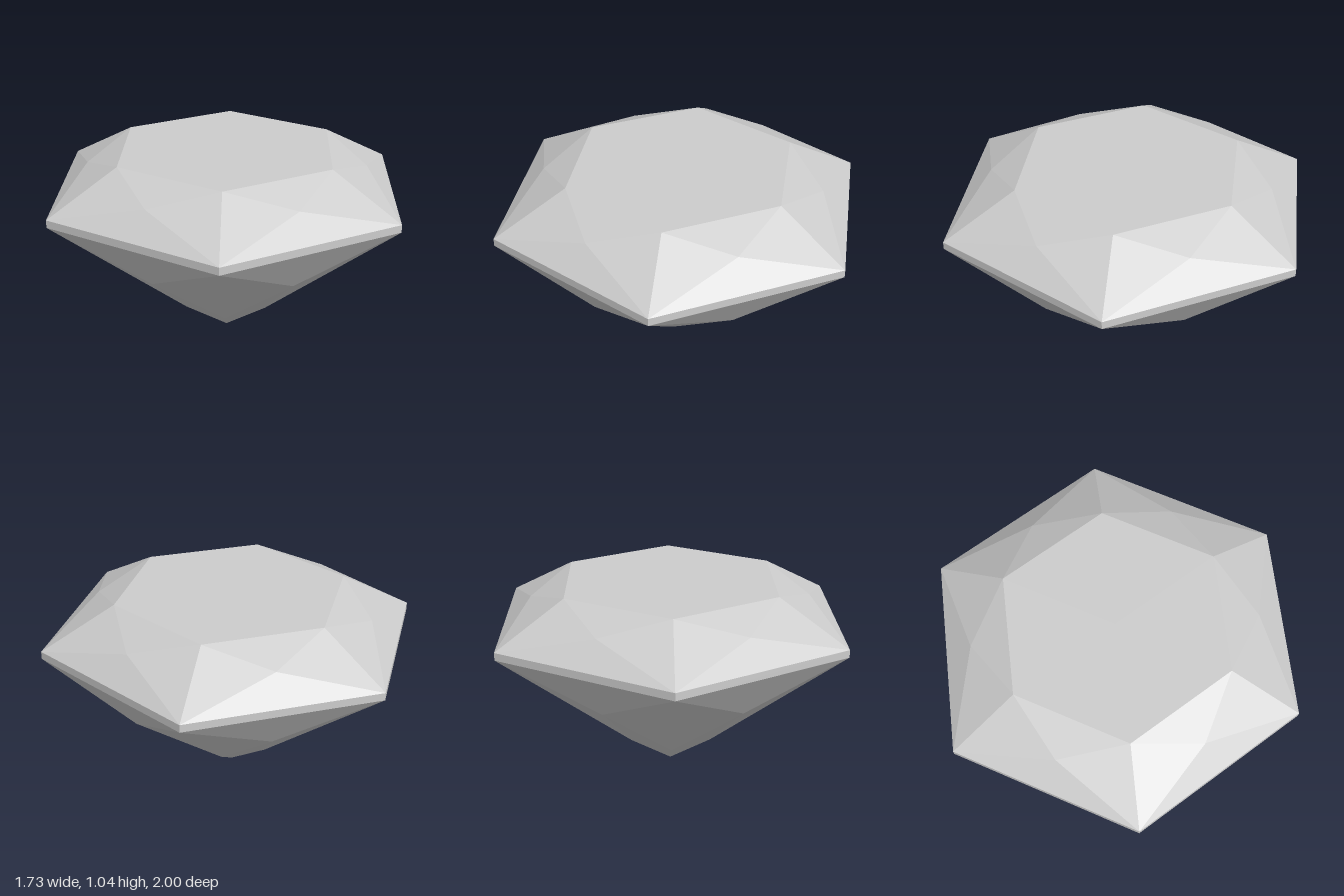
import * as THREE from 'three';

// Point on a six-fold ring: step counts 60 degree turns, starting at the front.
const at = (radius, y, step) => {
  const a = (step % 6) * Math.PI / 3;
  return [radius * Math.sin(a), y, radius * Math.cos(a)];
};

// Rings of the cut stone, as [radius, height]
const TABLE = [0.617, 1.04];
const STAR = [0.73, 0.95];
const GIRDLE_TOP = [1, 0.83];
const GIRDLE_LOW = [1, 0.79];
const BELLY = [0.69, 0.54];
const KEEL = [0.245, 0.166];
const TIP = [0, 0];

export function createModel() {
  const stone = new THREE.MeshStandardMaterial({ color: 0xcccccc, flatShading: true });
  stone.name = 'stoneGrey';
  const model = new THREE.Group();
  model.name = 'gem';

  // Repeats the triangles of one side six times around the axis.
  const addFacets = (name, side) => {
    const points = [];
    for (let k = 0; k < 6; k++) {
      for (const triangle of side) {
        for (const [ring, offset] of triangle) points.push(...at(...ring, k + offset));
      }
    }
    const geometry = new THREE.BufferGeometry();
    geometry.setAttribute('position', new THREE.Float32BufferAttribute(points, 3));
    geometry.computeVertexNormals();
    const mesh = new THREE.Mesh(geometry, stone);
    mesh.name = name;
    model.add(mesh);
  };

  // Left corner, right corner and middle of one side
  const L = (ring) => [ring, 0];
  const R = (ring) => [ring, 1];
  const M = (ring) => [ring, 0.5];

  // Flat top
  addFacets('table', [[L(TABLE), R(TABLE), L([0, TABLE[1]])]]);

  // Sloping upper facets
  addFacets('crown', [
    [L(GIRDLE_TOP), R(GIRDLE_TOP), M(STAR)],
    [L(GIRDLE_TOP), M(STAR), L(TABLE)],
    [M(STAR), R(GIRDLE_TOP), R(TABLE)],
    [M(STAR), R(TABLE), L(TABLE)],
  ]);

  // Thin upright band
  addFacets('girdle', [
    [L(GIRDLE_LOW), R(GIRDLE_LOW), R(GIRDLE_TOP)],
    [L(GIRDLE_LOW), R(GIRDLE_TOP), L(GIRDLE_TOP)],
  ]);

  // Lower facets down to the point
  addFacets('pavilion', [
    [R(GIRDLE_LOW), L(GIRDLE_LOW), M(BELLY)],
    [L(GIRDLE_LOW), L(KEEL), M(BELLY)],
    [R(GIRDLE_LOW), M(BELLY), R(KEEL)],
    [M(BELLY), L(KEEL), L(TIP)],
    [M(BELLY), L(TIP), R(KEEL)],
  ]);

  return model;
}
